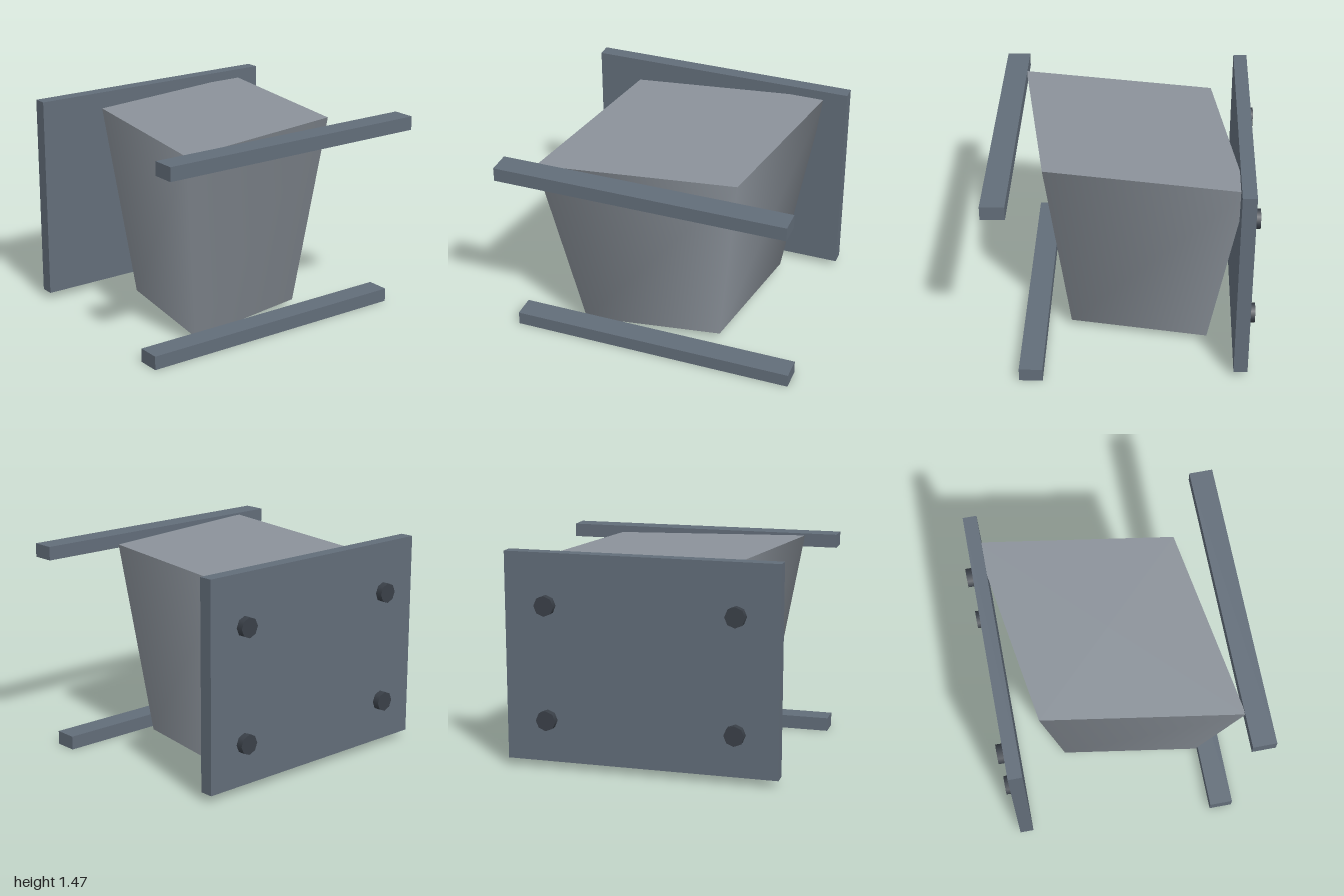
import * as THREE from 'three';

export function createModel() {
  const model = new THREE.Group();
  const bodyMaterial = new THREE.MeshStandardMaterial({ color: 0x8b929a });
  const steel = new THREE.MeshStandardMaterial({ color: 0x626d79 });
  const darkSteel = new THREE.MeshStandardMaterial({ color: 0x3a4048 });

  const add = (name, geometry, material, x, y, z) => {
    const mesh = new THREE.Mesh(geometry, material);
    mesh.name = name;
    mesh.position.set(x, y, z);
    model.add(mesh);
    return mesh;
  };

  // Tapered four-sided bucket body with smooth sides, stretched along one diagonal
  const body = add('bucketBody', new THREE.CylinderGeometry(1, 0.717, 1.355, 4), bodyMaterial, 0, 0.7275, -0.025);
  body.scale.set(1.085, 1, 0.79);
  body.rotation.y = Math.PI / 4;

  // Bars along the front: cutting edge at the bottom, lip at the top
  add('lowerBar', new THREE.BoxGeometry(2, 0.095, 0.16), steel, 0, 0.0475, 0.62);
  add('upperBar', new THREE.BoxGeometry(2, 0.095, 0.16), steel, 0, 1.373, 0.815);

  // Mounting plate at the back
  add('backPlate', new THREE.BoxGeometry(1.865, 1.42, 0.095), steel, 0, 0.76, -0.8);

  // Four bolts through the plate
  const boltGeometry = new THREE.CylinderGeometry(0.069, 0.069, 0.09, 8).rotateX(Math.PI / 2);
  for (const x of [-0.645, 0.645]) {
    for (const y of [0.34, 1.12]) add('bolt', boltGeometry, darkSteel, x, y, -0.85);
  }

  return model;
}
